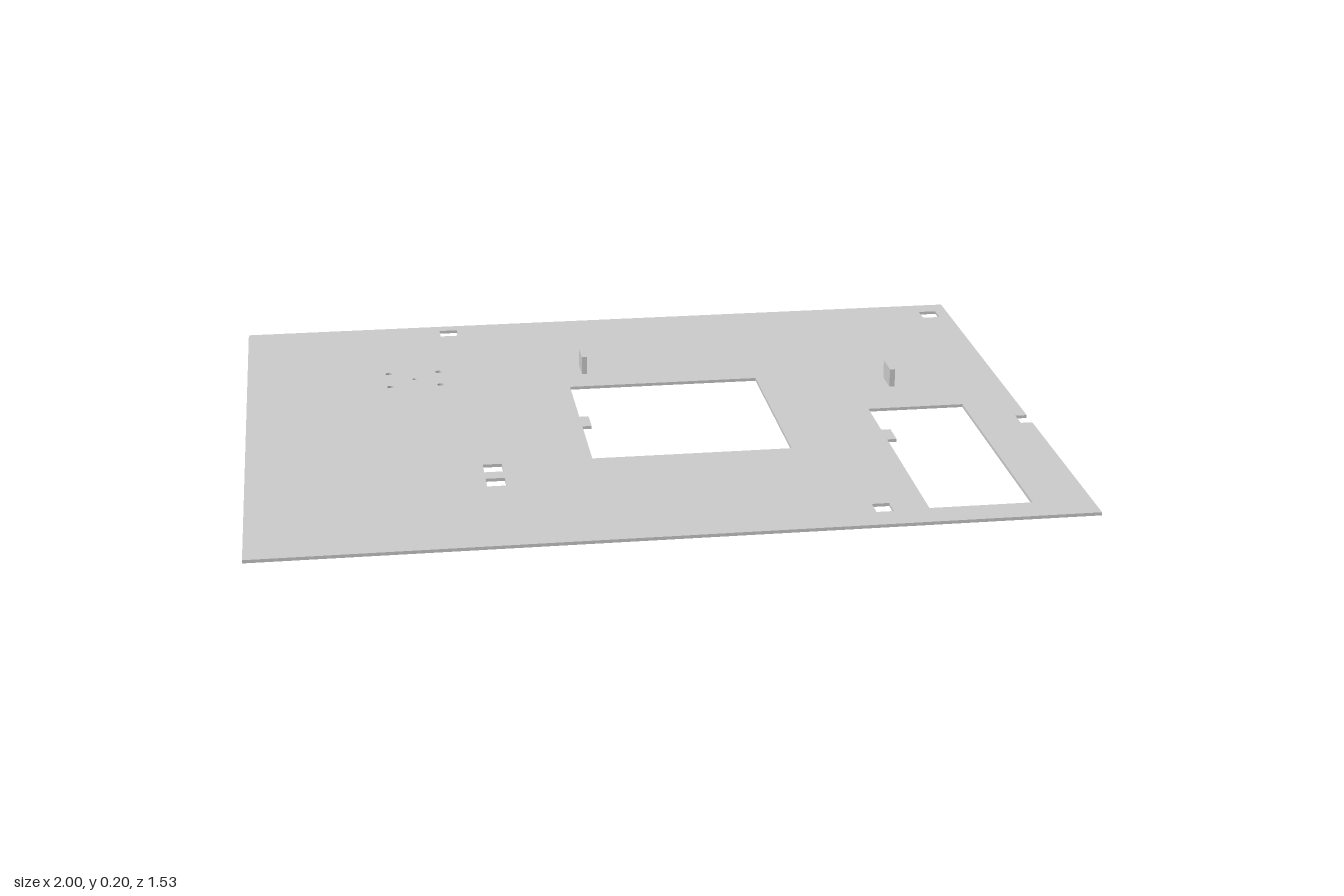
import * as THREE from 'three';

const T = 0.008; // sheet thickness

export function createModel() {
  const group = new THREE.Group();
  const material = new THREE.MeshStandardMaterial({ color: 0xcccccc, flatShading: true });

  const path = (points, Type) => new Type(points.map(([x, z]) => new THREE.Vector2(x, -z)));
  const rect = (x0, x1, z0, z1) => [[x0, z0], [x1, z0], [x1, z1], [x0, z1]];

  // Sheet outline, with the square notch in its left edge
  const outline = path([
    [-1, 0.763], [1, 0.763], [1, 0.182], [0.97, 0.182], [0.97, 0.131],
    [1, 0.131], [1, -0.763], [-1, -0.763],
  ], THREE.Shape);

  // A window with a small tab reaching in from its low-x side
  const window = (x0, x1, z0, z1, tab0, tab1) => [
    [x0, z0], [x1, z0], [x1, z1], [x0, z1],
    [x0, tab1], [x0 + 0.024, tab1], [x0 + 0.024, tab0], [x0, tab0],
  ];

  const openings = [
    window(-0.148, 0.354, -0.233, 0.272, -0.013, 0.055),
    window(0.604, 0.855, 0.032, 0.684, 0.18, 0.247),
    // Square mounting holes
    rect(-0.465, -0.416, -0.727, -0.681),
    rect(0.92, 0.969, -0.706, -0.655),
    rect(-0.42, -0.373, 0.276, 0.325),
    rect(-0.42, -0.373, 0.366, 0.414),
    rect(0.475, 0.517, 0.642, 0.69),
  ];
  for (const points of openings) outline.holes.push(path(points, THREE.Path));

  // Cluster of pin holes: four corners and a finer centre
  const pinHole = (x, z, r) => {
    const hole = new THREE.Path();
    hole.absarc(x, -z, r, 0, Math.PI * 2, true);
    outline.holes.push(hole);
  };
  for (const x of [-0.622, -0.488]) for (const z of [-0.396, -0.297]) pinHole(x, z, 0.009);
  pinHole(-0.555, -0.347, 0.006);

  const sheet = new THREE.Mesh(
    new THREE.ExtrudeGeometry(outline, { depth: T, bevelEnabled: false, curveSegments: 6 }),
    material,
  );
  sheet.name = 'sheet';
  sheet.rotation.x = -Math.PI / 2;
  group.add(sheet);

  // Upright plates held above the window tabs
  for (const [name, x, z] of [['centreUprightPlate', -0.1415, 0.022], ['sideUprightPlate', 0.6105, 0.215]]) {
    const plate = new THREE.Mesh(new THREE.BoxGeometry(0.013, 0.046, 0.068), material);
    plate.name = name;
    plate.position.set(x, 0.174, z);
    group.add(plate);
  }

  return group;
}
